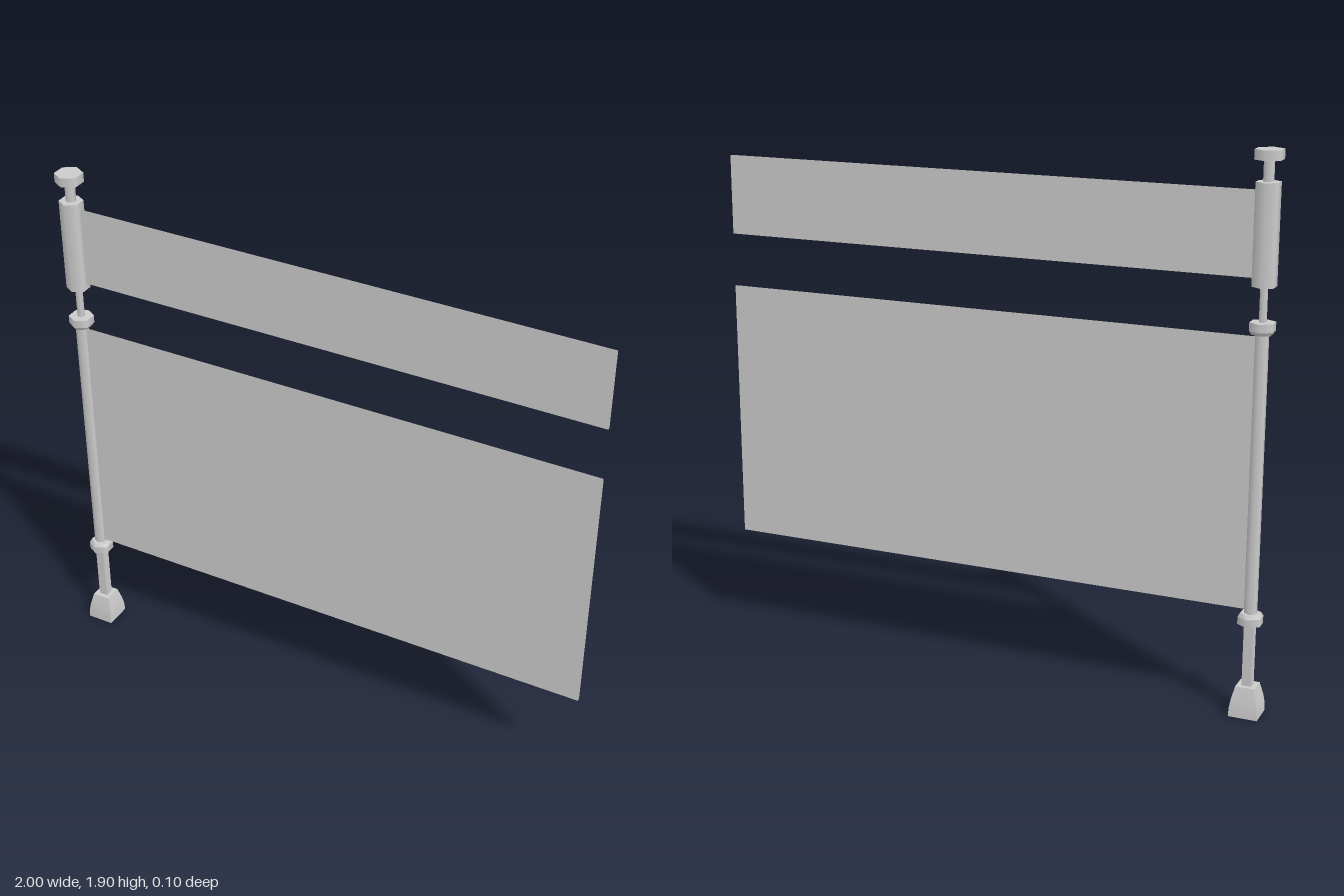
import * as THREE from 'three';
import { toCreasedNormals } from 'three/addons/utils/BufferGeometryUtils.js';

const POST_X = -0.95;

export function createModel() {
  const model = new THREE.Group();
  const solid = new THREE.MeshStandardMaterial({ color: 0xcccccc });
  const sheet = new THREE.MeshStandardMaterial({ color: 0xcccccc, side: THREE.DoubleSide });

  const add = (parent, name, geometry, material, x, y, z = 0) => {
    const mesh = new THREE.Mesh(geometry, material);
    mesh.name = name;
    mesh.position.set(x, y, z);
    parent.add(mesh);
    return mesh;
  };

  // Post: stacked six-sided pieces
  const post = new THREE.Group();
  post.name = 'post';
  post.position.x = POST_X;
  model.add(post);
  const hex = (name, y0, y1, r0, r1 = r0) =>
    add(post, name, new THREE.CylinderGeometry(r1, r0, y1 - y0, 6), solid, 0, (y0 + y1) / 2);

  hex('mainPole', 0.355, 1.32, 0.023);
  hex('lowerCollar', 0.325, 0.352, 0.044);
  hex('lowerCollarTaper', 0.352, 0.364, 0.044, 0.036);
  hex('upperCollarTaper', 1.315, 1.327, 0.036, 0.044);
  hex('upperCollar', 1.327, 1.355, 0.044);
  hex('upperRod', 1.355, 1.47, 0.013);
  hex('sleeve', 1.47, 1.803, 0.042);
  hex('neck', 1.803, 1.872, 0.018);
  hex('cap', 1.872, 1.905, 0.049);
  add(post, 'lowerRod', new THREE.BoxGeometry(0.033, 0.23, 0.033), solid, 0, 0.215);

  // Square foot, hollow underneath
  const profile = [[0.05, 0], [0.0485, 0.03], [0.044, 0.06], [0.033, 0.105], [0, 0.105]]
    .map(([half, y]) => new THREE.Vector2(half * Math.SQRT2, y));
  const foot = new THREE.LatheGeometry(profile, 4, Math.PI / 4);
  add(post, 'foot', toCreasedNormals(foot, 0.6), sheet, 0, 0);

  // Panels: a front and a back sheet with a narrow open gap
  const panel = (name, x0, x1, y0, y1) => {
    const group = new THREE.Group();
    group.name = name;
    model.add(group);
    for (const side of [1, -1]) {
      const face = add(group, side > 0 ? 'frontSheet' : 'backSheet',
        new THREE.PlaneGeometry(x1 - x0, y1 - y0), sheet, (x0 + x1) / 2, (y0 + y1) / 2, side * 0.004);
      if (side < 0) face.rotation.y = Math.PI;
    }
  };
  panel('upperPanel', -0.92, 1, 1.495, 1.775);
  panel('lowerPanel', -0.94, 1, 0.375, 1.305);

  return model;
}
